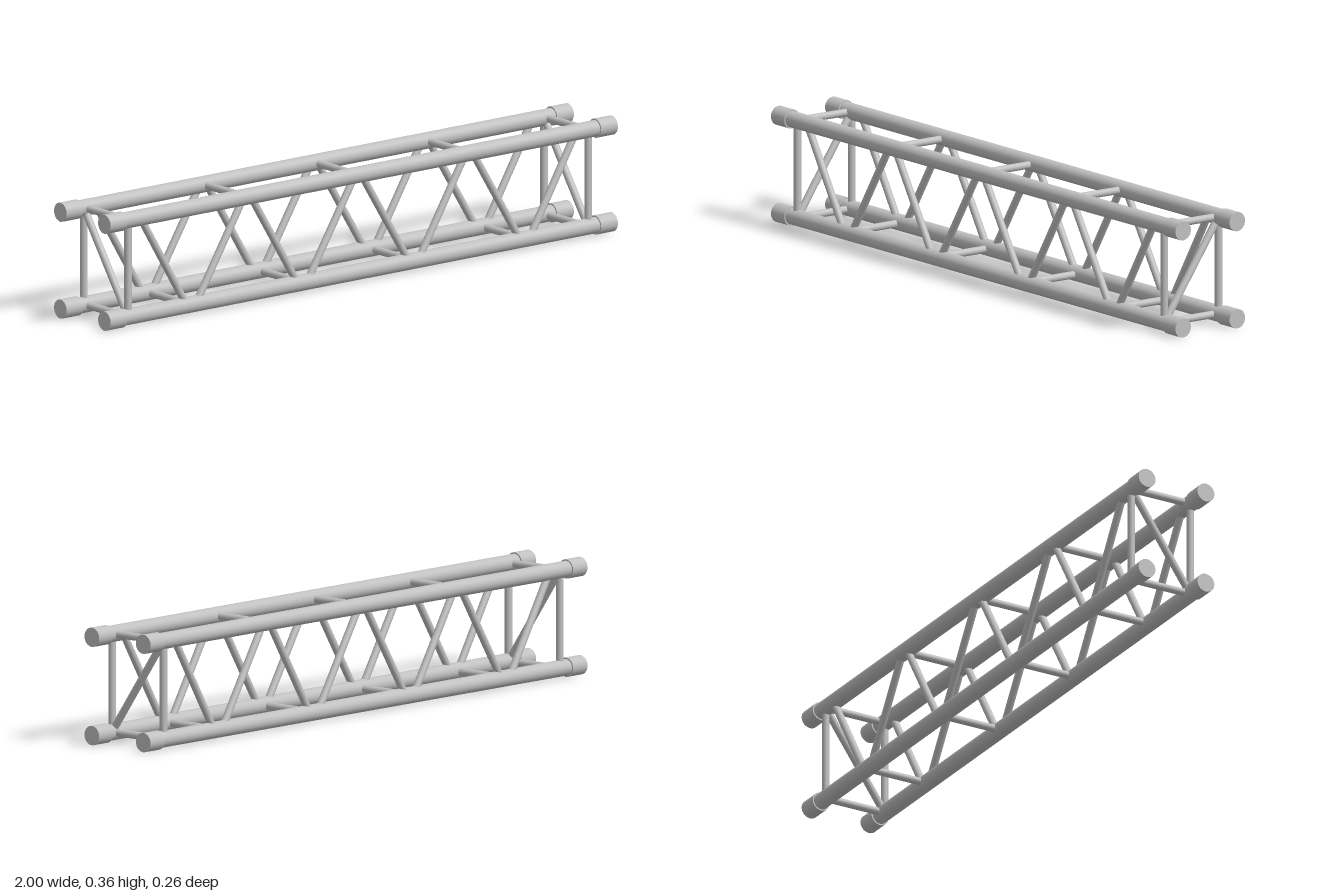
import * as THREE from 'three';

const LOW = 0.03, HIGH = 0.33, SIDE = 0.103, END = 0.907;
const CHORD_R = 0.0252, COLLAR_R = 0.0295, BRACE_R = 0.0115;

export function createModel() {
  const model = new THREE.Group();
  model.name = 'truss';
  const metal = new THREE.MeshStandardMaterial({ color: 0xc0c0c0 });
  metal.name = 'aluminium grey';

  // Round bar between two points
  function bar(name, a, b, radius, sides = 20) {
    const from = new THREE.Vector3(...a), to = new THREE.Vector3(...b);
    const dir = to.clone().sub(from);
    const mesh = new THREE.Mesh(
      new THREE.CylinderGeometry(radius, radius, dir.length(), sides), metal);
    mesh.name = name;
    mesh.position.copy(from).add(to).multiplyScalar(0.5);
    mesh.quaternion.setFromUnitVectors(new THREE.Vector3(0, 1, 0), dir.normalize());
    model.add(mesh);
  }

  // Four long chords with a thicker collar at each end
  for (const y of [LOW, HIGH]) for (const z of [-SIDE, SIDE]) {
    bar('chord', [-0.99, y, z], [0.99, y, z], CHORD_R, 32);
    for (const s of [-1, 1])
      bar('endCollar', [s * 0.934, y, z], [s, y, z], COLLAR_R, 32);
  }

  // Zigzag braces on front and back: [x at top, x at bottom], mirrored in x
  const zigzag = [[0.859, 0.676], [0.451, 0.639], [0.424, 0.238], [0.012, 0.201]];
  for (const z of [-SIDE, SIDE]) for (const s of [-1, 1]) {
    for (const [top, bottom] of zigzag)
      bar('diagonalBrace', [s * top, HIGH, z], [s * bottom, LOW, z], BRACE_R);
    bar('endPost', [s * END, LOW, z], [s * END, HIGH, z], BRACE_R);
  }

  // Cross rungs joining front and back at the zigzag nodes
  const rungs = [
    [HIGH, [-END, -0.44, 0, 0.44, END]],
    [LOW, [-END, -0.66, -0.22, 0.22, 0.66, END]],
  ];
  for (const [y, xs] of rungs) for (const x of xs)
    bar('crossRung', [x, y, -SIDE], [x, y, SIDE], BRACE_R);

  // Diagonal across each end frame
  for (const x of [-END, END])
    bar('endDiagonal', [x, LOW, SIDE], [x, HIGH, -SIDE], BRACE_R);

  return model;
}
